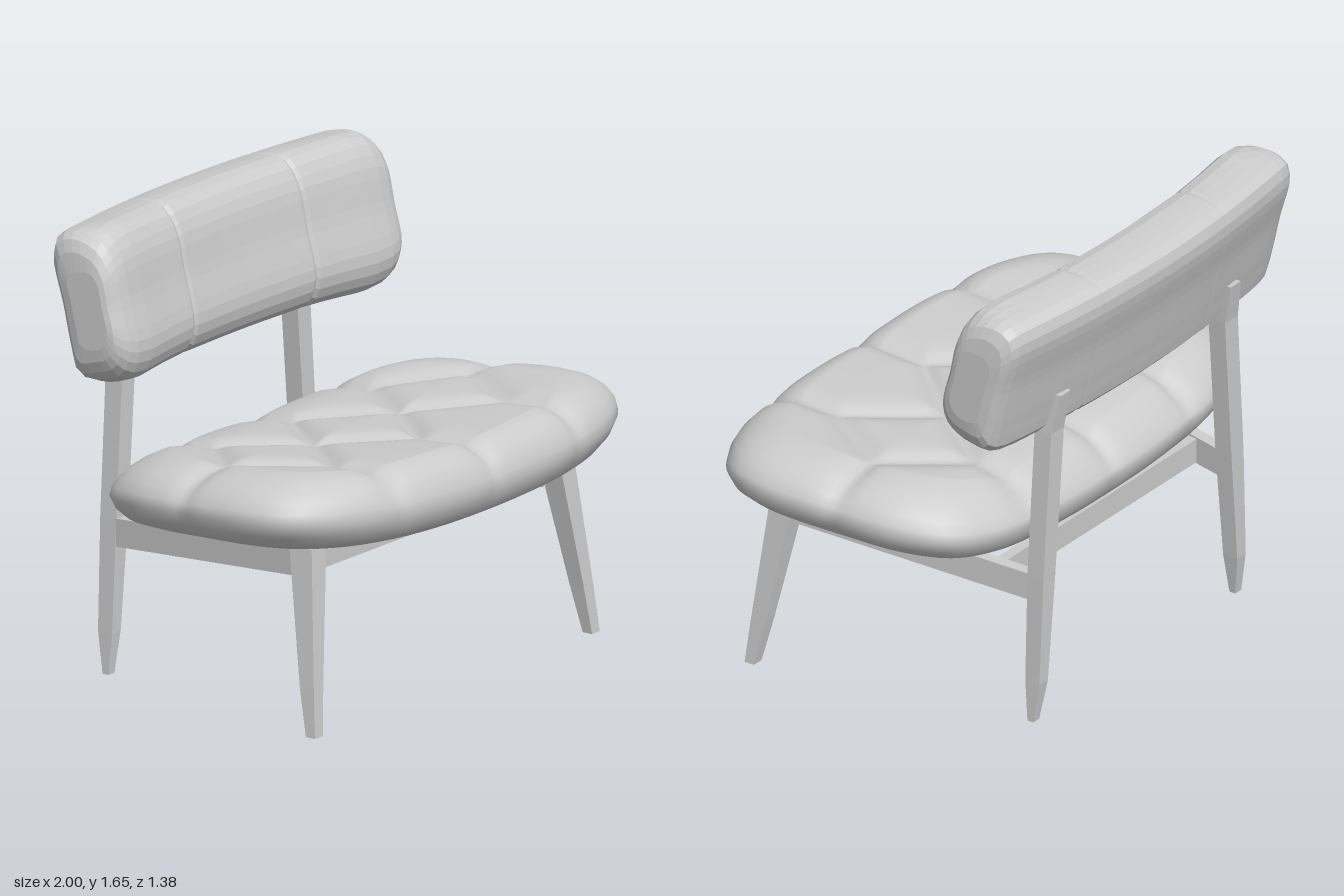
import * as THREE from 'three';

const faceted = new THREE.MeshStandardMaterial({ color: 0xcccccc, flatShading: true });
const smooth = new THREE.MeshStandardMaterial({ color: 0xcccccc });
const V = (x, y, z) => new THREE.Vector3(x, y, z);
const { lerp, smoothstep } = THREE.MathUtils;

function part(name, geometry, material = faceted) {
  const mesh = new THREE.Mesh(geometry, material);
  mesh.name = name;
  return mesh;
}

// Skin a row of equal rings (counter-clockwise about the direction of travel), closed at both ends
function loft(rings) {
  const n = rings[0].length, pos = [], idx = [];
  for (const ring of rings) for (const p of ring) pos.push(p.x, p.y, p.z);
  for (let i = 0; i < rings.length - 1; i++) {
    for (let j = 0; j < n; j++) {
      const a = i * n + j, b = i * n + (j + 1) % n;
      idx.push(a, b, b + n, a, b + n, a + n);
    }
  }
  [0, rings.length - 1].forEach((r, end) => {
    const c = V(0, 0, 0);
    rings[r].forEach(p => c.addScaledVector(p, 1 / n));
    const k = pos.length / 3;
    pos.push(c.x, c.y, c.z);
    for (let j = 0; j < n; j++) {
      const a = r * n + j, b = r * n + (j + 1) % n;
      if (end) idx.push(k, a, b); else idx.push(k, b, a);
    }
  });
  const g = new THREE.BufferGeometry();
  g.setAttribute('position', new THREE.Float32BufferAttribute(pos, 3));
  g.setIndex(idx);
  g.computeVertexNormals();
  return g;
}

// Closed smooth outline through a few 2D points
function outline(points, count) {
  const curve = new THREE.CatmullRomCurve3(points.map(([x, y]) => V(x, y, 0)), true);
  return curve.getSpacedPoints(count).slice(0, count);
}

// Stitched seams of the seat as x, z segments, mirrored left and right
const halfSeams = [
  [0, -0.5, 0, -0.2], [0, -0.2, 0.25, 0.08], [0.25, 0.08, 0.46, -0.2], [0.46, -0.2, 0.46, -0.5],
  [0.46, -0.2, 0.72, 0.05], [0.72, 0.05, 1.0, 0.04], [0.25, 0.08, 0, 0.36], [0, 0.36, 0, 0.7],
  [0.25, 0.08, 0.51, 0.36], [0.51, 0.36, 0.72, 0.05], [0.51, 0.36, 0.52, 0.7],
].map(([x1, z1, x2, z2]) => new THREE.Line3(V(x1, 0, z1), V(x2, 0, z2)));

function groove(x, z) {
  const p = V(Math.abs(x), 0, z), q = V(0, 0, 0);
  let d = 1;
  for (const s of halfSeams) d = Math.min(d, s.closestPointToPoint(p, true, q).distanceTo(p));
  return 1 / (1 + (d / 0.04) ** 2);
}

function seatCushion() {
  const half = [[0.5, 0.67], [0.8, 0.6], [0.95, 0.49], [1, 0.35], [0.97, 0], [0.93, -0.2],
    [0.83, -0.36], [0.64, -0.44], [0.35, -0.465]];
  const rim = outline([[0, 0.69], ...half, [0, -0.47],
    ...half.slice().reverse().map(([x, z]) => [-x, z])], 200);
  const cz = 0.11;
  // [scale of outline, height above the rim, share of tufting]
  const steps = [[0.3, -0.105, 0], [0.7, -0.105, 0], [0.86, -0.1, 0], [0.93, -0.08, 0], [0.975, -0.045, 0.5],
    [1, 0, 1], [0.99, 0.04, 1], [0.962, 0.078, 1], [0.92, 0.112, 1], [0.86, 0.142, 1], [0.82, 0.152, 1]];
  for (let s = 0.78; s > 0.02; s -= 0.025) steps.push([s, 0.162, 1]);
  return loft(steps.map(([s, h, t]) => rim.map(p => {
    const x = p.x * s, z = cz + (p.y - cz) * s, g = groove(x, z) * t;
    const k = 1 - 0.015 * g;
    // The top falls away toward the back
    const drop = h > 0 ? 4 * h * Math.min(0, z + 0.15) ** 2 : 0;
    const y = 0.7 + 0.055 * z + 0.06 * x * x + h * (1 - 0.22 * g) - drop;
    return V(x * k, y, cz + (z - cz) * k);
  })));
}

function backCushion() {
  // Leaning section as z, y: front, underside, flat back, top
  const section = outline([[-0.35, 1.22], [-0.385, 1.13], [-0.49, 1.09], [-0.575, 1.11], [-0.605, 1.2],
    [-0.645, 1.37], [-0.69, 1.54], [-0.675, 1.605], [-0.59, 1.635], [-0.49, 1.635], [-0.43, 1.56], [-0.39, 1.4]], 36);
  // [x, scale] with a pinched seam at 0.355
  const half = [[0.12, 0.995], [0.25, 0.995], [0.338, 0.99], [0.355, 0.95], [0.372, 0.99], [0.5, 1],
    [0.66, 1.02], [0.74, 0.98], [0.785, 0.9], [0.815, 0.79], [0.833, 0.65], [0.84, 0.5]];
  const stations = [...half.slice().reverse().map(([x, s]) => [-x, s]), [0, 0.995], ...half];
  return loft(stations.map(([x, s]) => section.map(p => {
    // The back panel stays flat and square while the padding rounds off
    const k = lerp(s, 1 - 2 * (1 - s) ** 2, smoothstep(-p.x, 0.47, 0.62));
    return V(x, 1.37 + (p.y - 1.37) * k, -0.52 + (p.x + 0.52) * k + 0.1 * x * x);
  })));
}

// Four-sided post from [y, x, z, width, depth] stations, bottom to top
function post(stations, side) {
  return loft(stations.map(([y, x, z, w, d]) =>
    [[-1, 1], [1, 1], [1, -1], [-1, -1]].map(([i, k]) => V(side * x + i * w / 2, y, z + k * d / 2))));
}

// Straight rail between two points
function rail(name, a, b, thickness, height) {
  const mesh = part(name, new THREE.BoxGeometry(thickness, height, a.distanceTo(b)));
  mesh.position.copy(a).lerp(b, 0.5);
  mesh.lookAt(b);
  return mesh;
}

export function createModel() {
  const model = new THREE.Group();
  model.name = 'loungeChair';
  model.add(part('seatCushion', seatCushion(), smooth), part('backCushion', backCushion()));

  for (const side of [1, -1]) {
    const label = side > 0 ? 'left' : 'right';
    // Splayed front legs
    model.add(part(label + 'FrontLeg', post([
      [0, 0.805, 0.495, 0.045, 0.04], [0.17, 0.785, 0.468, 0.055, 0.06], [0.65, 0.718, 0.403, 0.085, 0.095],
    ], side)));
    // Rear legs rise to carry the backrest
    model.add(part(label + 'RearLeg', post([
      [0, 0.59, -0.54, 0.035, 0.025], [0.15, 0.578, -0.545, 0.05, 0.06], [0.55, 0.55, -0.545, 0.07, 0.068],
      [1.1, 0.508, -0.548, 0.075, 0.07], [1.25, 0.497, -0.585, 0.06, 0.05],
    ], side)));
    model.add(rail(label + 'SideRail', V(side * 0.69, 0.58, 0.38), V(side * 0.56, 0.505, -0.53), 0.045, 0.1));
  }

  // Cross rails under the seat
  model.add(rail('frontRail', V(-0.69, 0.58, 0.36), V(0.69, 0.58, 0.36), 0.04, 0.09));
  model.add(rail('rearRail', V(-0.57, 0.515, -0.38), V(0.57, 0.515, -0.38), 0.04, 0.09));
  return model;
}
